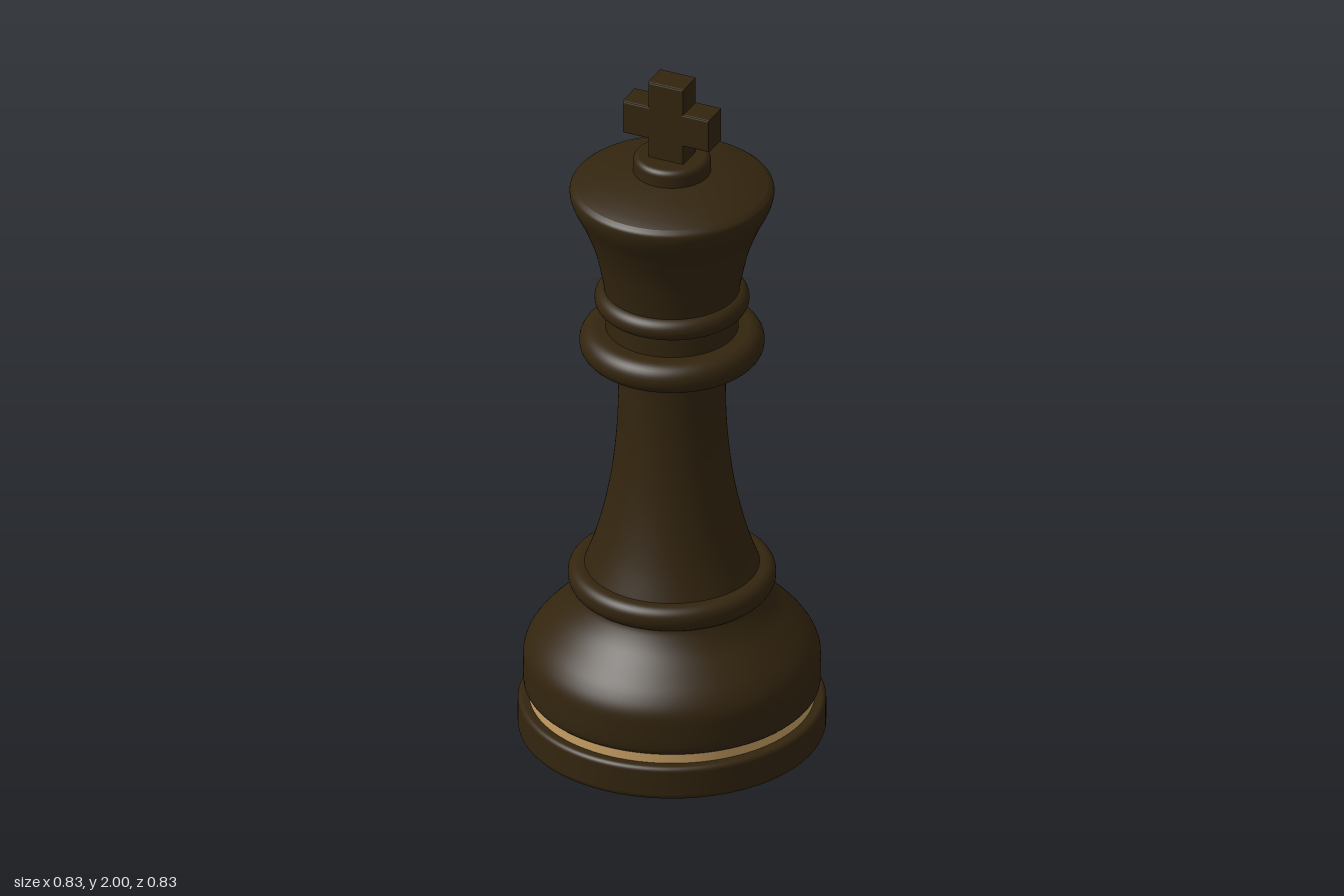
import * as THREE from 'three';

const SEGMENTS = 96;

export function createModel() {
  const group = new THREE.Group();
  const darkWood = new THREE.MeshStandardMaterial({ color: 0x33250f });
  const paleInlay = new THREE.MeshStandardMaterial({ color: 0xc89f64 });
  darkWood.name = 'dark wood';
  paleInlay.name = 'pale inlay';

  const add = (name, geometry, material = darkWood) => {
    const mesh = new THREE.Mesh(geometry, material);
    mesh.name = name;
    group.add(mesh);
    return mesh;
  };

  // Turned part from [radius, height] points, bottom to top
  const turned = (name, points, material) =>
    add(name, new THREE.LatheGeometry(points.map(([r, y]) => new THREE.Vector2(r, y)), SEGMENTS), material);

  // Turned part whose side is a smooth curve through the points
  const curved = (name, points, steps = 32) => {
    const curve = new THREE.SplineCurve(points.map(([r, y]) => new THREE.Vector2(r, y)));
    return add(name, new THREE.LatheGeometry(curve.getPoints(steps), SEGMENTS));
  };

  // Closed disc with rounded rims: bottom and top edge radii
  const disc = (name, radius, y0, y1, low, high) => {
    const points = [[0, y0], [radius - low - 0.004, y0]];
    const arc = (r, cy, from) => {
      for (let i = 0; i <= 8; i++) {
        const a = from + (i / 8) * Math.PI / 2;
        points.push([radius - r + r * Math.cos(a), cy + r * Math.sin(a)]);
      }
    };
    arc(low, y0 + low, -Math.PI / 2);
    arc(high, y1 - high, 0);
    points.push([radius - high - 0.004, y1], [0, y1]);
    return turned(name, points);
  };

  // Foot and inlay band
  disc('foot', 0.416, 0, 0.1, 0.018, 0.014);
  turned('inlayBand', [[0.386, 0.095], [0.386, 0.135]], paleInlay);

  // Bell-shaped base
  turned('baseUnderside', [[0, 0.128], [0.39, 0.128]]);
  curved('base', [[0.388, 0.128], [0.4, 0.145], [0.402, 0.2], [0.398, 0.25],
    [0.375, 0.293], [0.335, 0.338], [0.29, 0.385], [0.263, 0.425], [0.255, 0.45]], 48);
  disc('baseCollar', 0.281, 0.432, 0.51, 0.042, 0.03);

  // Concave column
  curved('column', [[0.238, 0.505], [0.208, 0.59], [0.182, 0.69], [0.162, 0.8],
    [0.149, 0.93], [0.145, 1.05], [0.147, 1.12], [0.158, 1.16]], 40);

  // Neck rings
  disc('lowerNeckRing', 0.25, 1.152, 1.24, 0.043, 0.043);
  turned('neck', [[0.18, 1.22], [0.178, 1.32]]);
  disc('upperNeckRing', 0.209, 1.297, 1.36, 0.031, 0.031);

  // Flared head with a gently domed top
  curved('head', [[0.181, 1.345], [0.19, 1.4], [0.208, 1.48], [0.238, 1.56],
    [0.265, 1.615], [0.275, 1.645], [0.275, 1.667], [0.262, 1.68]], 44);
  turned('headTop', [[0.262, 1.68], [0.235, 1.692], [0.18, 1.708], [0.1, 1.723], [0, 1.727]]);
  disc('finialBase', 0.105, 1.715, 1.77, 0.008, 0.018);

  // Finial with four arms, lightly bevelled
  const bevel = 0.005;
  const [w, a, y0, y1, y2, y3] =
    [0.053 - bevel, 0.129 - bevel, 1.76, 1.825 + bevel, 1.923 - bevel, 2 - bevel];
  const right = [[w, y0], [w, y1], [a, y1], [a, y2], [w, y2], [w, y3]];
  const left = right.map(([x, y]) => [-x, y]).reverse();
  const outline = new THREE.Shape([...right, ...left].map(([x, y]) => new THREE.Vector2(x, y)));
  const depth = 0.082 - 2 * bevel;
  const finial = new THREE.ExtrudeGeometry(outline, {
    depth, bevelEnabled: true, bevelSize: bevel, bevelThickness: bevel, bevelSegments: 2,
  });
  finial.translate(0, 0, -depth / 2);
  add('finial', finial);

  return group;
}
